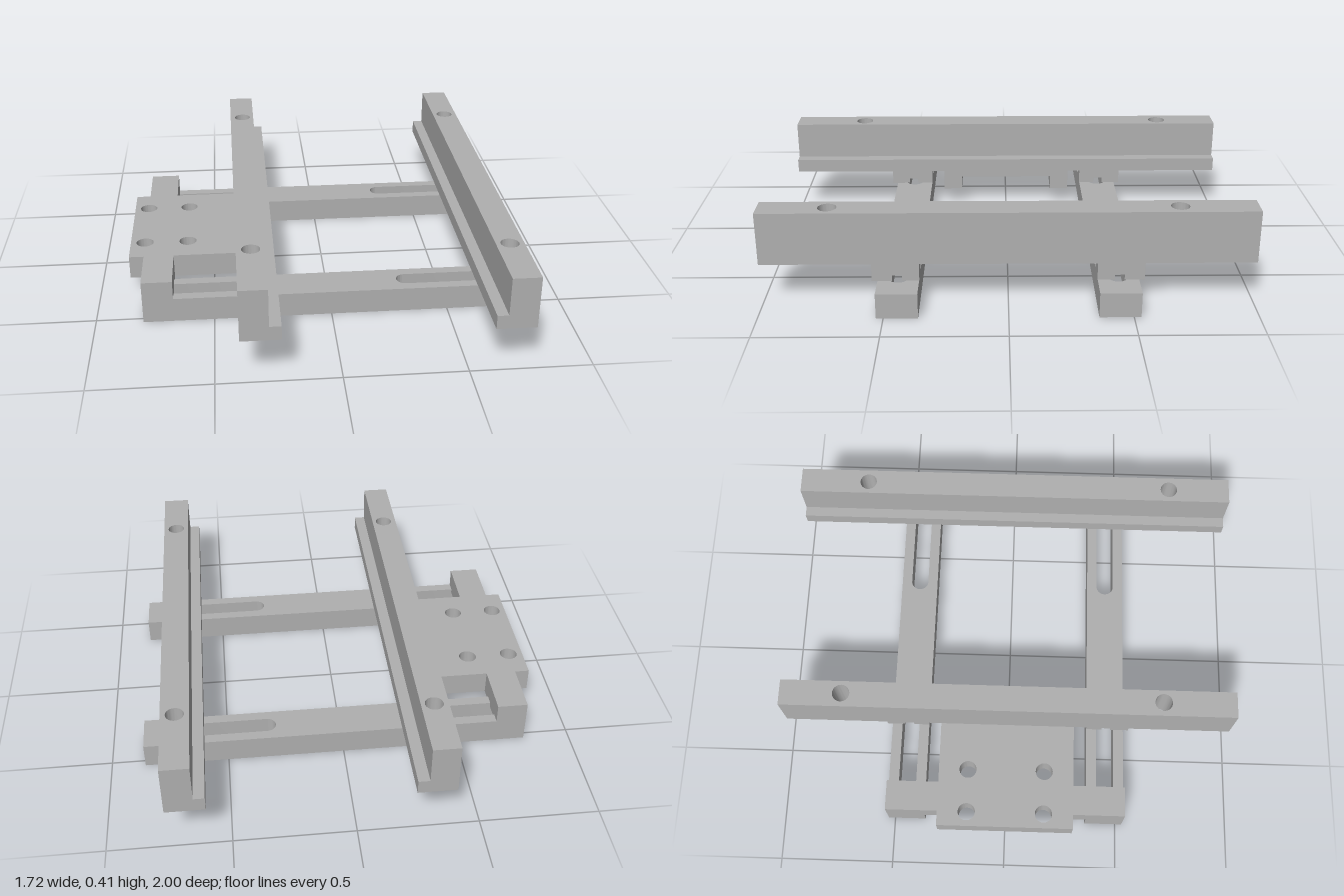
import * as THREE from 'three';
import { toCreasedNormals } from 'three/addons/utils/BufferGeometryUtils.js';

const steel = new THREE.MeshStandardMaterial({ color: 0xb0b0b0 });
steel.name = 'grey metal';

// Path helpers in plan; shape y is -z
const outline = (pts) => new THREE.Shape(pts.map(([x, z]) => new THREE.Vector2(x, -z)));
const rect = (x0, x1, z0, z1) => outline([[x0, z0], [x0, z1], [x1, z1], [x1, z0]]);
const hole = (x, z, r = 0.038) => new THREE.Path().absarc(x, -z, r, 0, Math.PI * 2);

function slot(x0, x1, z, r) {
  const p = new THREE.Path();
  p.absarc(x1 - r, -z, r, -Math.PI / 2, Math.PI / 2);
  p.absarc(x0 + r, -z, r, Math.PI / 2, Math.PI * 1.5);
  p.closePath();
  return p;
}

// Vertical extrusion of a plan shape between two heights
function slab(name, shape, holes, y0, y1) {
  shape.holes.push(...holes);
  let geo = new THREE.ExtrudeGeometry(shape, { depth: y1 - y0, bevelEnabled: false, curveSegments: 20 });
  geo.rotateX(-Math.PI / 2);
  geo.translate(0, y0, 0);
  geo = toCreasedNormals(geo, 0.6);
  const mesh = new THREE.Mesh(geo, steel);
  mesh.name = name;
  return mesh;
}

function box(name, x0, x1, y0, y1, z0, z1) {
  const mesh = new THREE.Mesh(new THREE.BoxGeometry(x1 - x0, y1 - y0, z1 - z0), steel);
  mesh.position.set((x0 + x1) / 2, (y0 + y1) / 2, (z0 + z1) / 2);
  mesh.name = name;
  return mesh;
}

// Long rail with an L section and two bolt holes
function rail(name, x0, x1, foot0, foot1, holeX, holeZ) {
  const g = new THREE.Group();
  g.name = name;
  g.add(slab('railBody', rect(x0, x1, -1, 1), holeZ.map((z) => hole(holeX, z)), 0.19, 0.413));
  g.add(box('railLip', foot0, foot1, 0.19, 0.25, -1, 1));
  return g;
}

// Sliding block between bar and rail, with a small groove underneath
function spacer(x0, x1, side) {
  const g = new THREE.Group();
  g.name = 'spacer';
  const part = (y0, y1, a, b) =>
    g.add(box('spacerPart', x0, x1, y0, y1, Math.min(a * side, b * side), Math.max(a * side, b * side)));
  part(0.13, 0.19, 0.36, 0.552);
  part(0.107, 0.13, 0.36, 0.43);
  part(0.107, 0.13, 0.47, 0.552);
  return g;
}

export function createModel() {
  const model = new THREE.Group();
  model.name = 'slidingRailFixture';

  // Rails
  model.add(rail('rightRail', -0.4, -0.285, -0.285, -0.237, -0.34, [-0.73, 0.68]));
  model.add(rail('leftRail', 0.64, 0.757, 0.594, 0.64, 0.698, [-0.685, 0.72]));

  // Slotted cross bars and the spacers on them
  for (const side of [1, -1]) {
    const z = 0.445 * side;
    model.add(slab('crossBar', rect(-0.8, 0.857, z - 0.084, z + 0.084),
      [slot(-0.74, -0.27, z, 0.039), slot(0.288, 0.757, z, 0.039)], 0, 0.107));
    model.add(spacer(-0.385, -0.292, side), spacer(0.65, 0.74, side));
  }

  // Mounting plate with side arms; the lower layer leaves a pocket at the inner end
  const left = [[-0.67, 0.3], [-0.67, 0.529], [-0.8, 0.529], [-0.8, 0.3], [-0.863, 0.3]];
  const rim = [...left, ...left.map(([x, z]) => [x, -z]).reverse()];
  const inner = -0.265;
  const bolts = () => [-0.8, -0.61].flatMap((x) => [-0.17, 0.17].map((z) => hole(x, z)));
  model.add(slab('plateTop', outline([[inner, 0.3], ...rim, [inner, -0.3]]), bolts(), 0.15, 0.19));
  model.add(slab('plateUnderside', outline([
    [inner, 0.3], ...rim, [inner, -0.3],
    [inner, -0.215], [-0.507, -0.215], [-0.507, 0.215], [inner, 0.215],
  ]), bolts(), 0.088, 0.15));

  return model;
}
